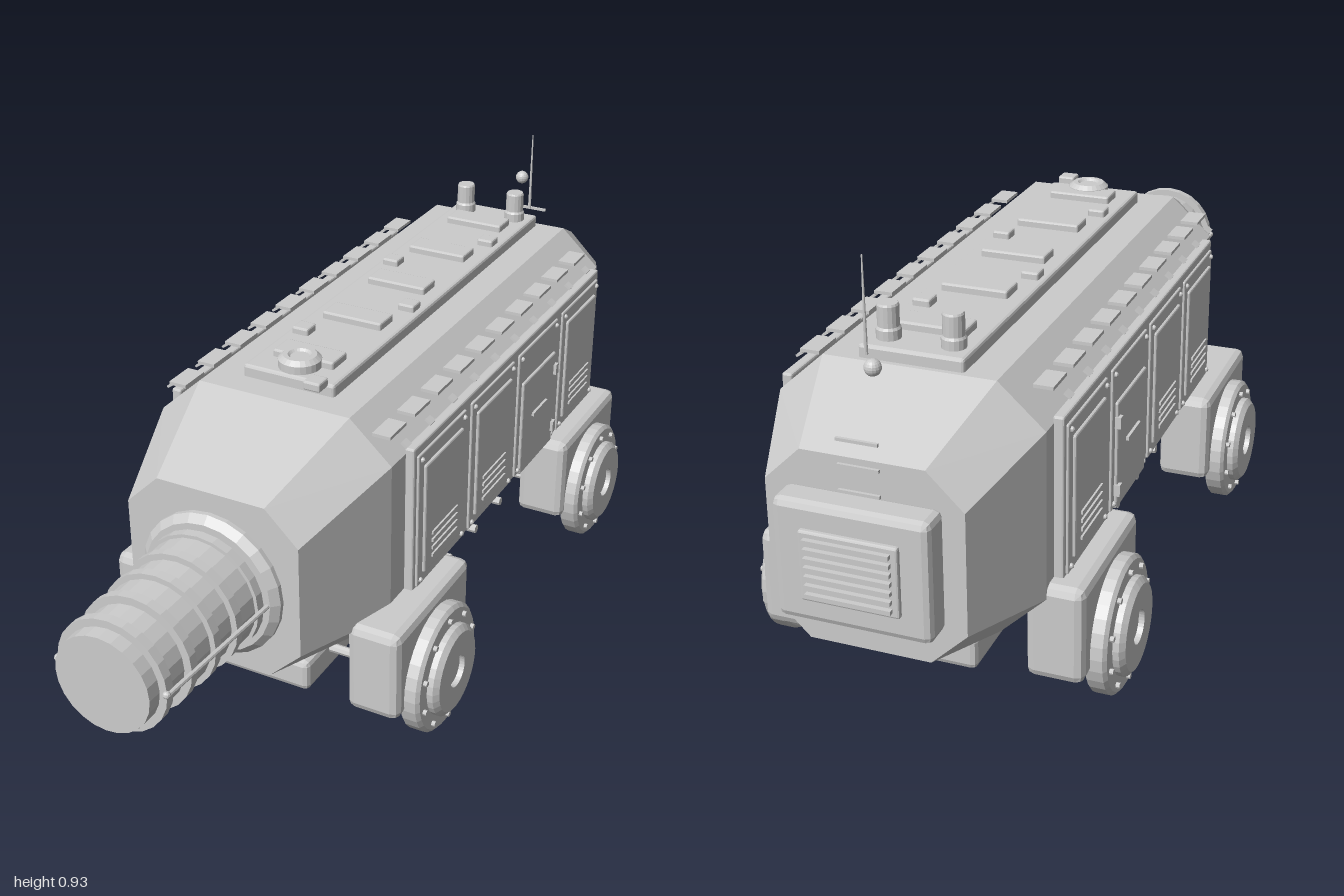
import * as THREE from 'three';
import { ConvexGeometry } from 'three/addons/geometries/ConvexGeometry.js';
import { RoundedBoxGeometry } from 'three/addons/geometries/RoundedBoxGeometry.js';

export function createModel() {
  const root = new THREE.Group();
  root.name = 'armouredVehicle';
  const grey = new THREE.MeshStandardMaterial({ color: 0xcccccc, flatShading: true });
  grey.name = 'lightGrey';

  const add = (name, geo, x = 0, y = 0, z = 0) => {
    const m = new THREE.Mesh(geo, grey);
    m.name = name;
    m.position.set(x, y, z);
    root.add(m);
    return m;
  };
  // box by centre and size, with an optional chamfer
  const box = (name, x, y, z, w, h, d, c = 0) =>
    add(name, c ? new RoundedBoxGeometry(w, h, d, 1, c) : new THREE.BoxGeometry(w, h, d), x, y, z);
  // lathed [radius, position] profile turned to point along the given axis
  const lathe = (name, pts, axis, x, y, z, n = 24) => {
    const g = new THREE.LatheGeometry(pts.map(p => new THREE.Vector2(p[0], p[1])), n);
    if (axis === 'z') g.rotateX(Math.PI / 2);
    if (axis === 'x') g.rotateZ(-Math.PI / 2);
    if (axis === '-x') g.rotateZ(Math.PI / 2);
    return add(name, g, x, y, z);
  };

  // hull: chamfered octagon sections, tapered at both ends
  const section = (z, wx, cx, y0, y1, y2, y3) =>
    [[cx, y0], [wx, y1], [wx, y2], [cx, y3]].flatMap(([x, y]) =>
      [new THREE.Vector3(x, y, z), new THREE.Vector3(-x, y, z)]);
  add('hull', new ConvexGeometry([
    ...section(0.63, 0.192, 0.12, 0.235, 0.305, 0.55, 0.62),
    ...section(0.39, 0.265, 0.172, 0.19, 0.28, 0.625, 0.71),
    ...section(-0.72, 0.265, 0.172, 0.19, 0.28, 0.625, 0.71),
    ...section(-0.92, 0.192, 0.12, 0.235, 0.305, 0.55, 0.62),
  ]));

  // front barrel with collar, rings and side rods
  lathe('barrelCollar', [[0, 0.62], [0.157, 0.62], [0.157, 0.64], [0.142, 0.655], [0.11, 0.655]], 'z', 0, 0.42, 0);
  lathe('barrel', [[0.125, 0.63], [0.122, 0.75], [0.115, 0.75], [0.112, 0.88], [0.106, 0.88],
    [0.102, 1], [0, 1]], 'z', 0, 0.42, 0);
  [0.67, 0.74, 0.81, 0.885, 0.96].forEach((z, i) => {
    const r = 0.131 - i * 0.003;
    lathe('barrelRing', [[0.09, z - 0.01], [r, z - 0.01], [r, z + 0.01], [0.09, z + 0.01]], 'z', 0, 0.42, 0);
  });
  for (const s of [-1, 1]) {
    const rod = add('barrelRod', new THREE.CylinderGeometry(0.005, 0.005, 0.33, 8), s * 0.128, 0.42, 0.81);
    rod.rotation.set(Math.PI / 2, 0, s * 0.05);
    add('rodEnd', new THREE.SphereGeometry(0.008, 10, 6), s * 0.118, 0.42, 0.97);
  }

  // roof deck and its fittings
  box('roofDeck', 0, 0.72, -0.19, 0.21, 0.032, 1.04, 0.006);
  for (let i = 0; i < 5; i++) {
    const z = -0.59 + i * 0.2075;
    box('roofPlate', 0, 0.742, z, 0.14, 0.02, 0.06, 0.004);
    box('roofBlock', i % 2 ? -0.072 : 0.072, 0.741, z + 0.105, 0.038, 0.02, 0.038, 0.004);
  }
  lathe('roofHatch', [[0.045, 0], [0.045, 0.018], [0.035, 0.027], [0.025, 0.027], [0.02, 0.022], [0, 0.022]], 'y', 0, 0.735, 0.28);
  for (const s of [-1, 1])
    lathe('roofStack', [[0.024, 0], [0.024, 0.02], [0.021, 0.025], [0.021, 0.066], [0.019, 0.07], [0, 0.07]], 'y', s * 0.065, 0.735, -0.66, 16);
  add('aerial', new THREE.CylinderGeometry(0.0015, 0.004, 0.19, 8), 0.07, 0.83, -0.745);
  add('beacon', new THREE.SphereGeometry(0.016, 16, 10), 0, 0.768, -0.86);

  // rear grille and vent bars
  box('rearHousing', 0, 0.43, -0.945, 0.3, 0.24, 0.07, 0.014);
  box('grilleFrame', 0, 0.43, -0.982, 0.19, 0.14, 0.016, 0.004);
  for (let i = 0; i < 7; i++)
    box('grilleSlat', 0, 0.376 + i * 0.018, -0.993, 0.165, 0.008, 0.014);
  for (const y of [0.56, 0.61, 0.66])
    box('rearVentBar', 0, y, -0.933, 0.08, 0.006, 0.006);

  // undercarriage
  box('underTray', 0, 0.16, -0.125, 0.285, 0.07, 1.29, 0.012);
  box('bellyPlate', 0, 0.115, -0.155, 0.17, 0.034, 0.45, 0.006);
  for (let i = 0; i < 8; i++)
    add('crossRod', new THREE.CylinderGeometry(0.01, 0.01, 0.44, 8).rotateZ(Math.PI / 2), 0, 0.175, 0.42 - i * 0.14);

  for (const s of [-1, 1]) {
    // side armour and four framed panels
    box('sideArmour', s * 0.273, 0.47, -0.175, 0.022, 0.335, 1.01, 0.004);
    [0.205, -0.048, -0.3, -0.555].forEach((z, i) => {
      const door = i === 2;
      box('sidePanel', s * 0.283, 0.463, z, 0.012, 0.31, 0.225, 0.003);
      const [w, h, y] = door ? [0.19, 0.235, 0.425] : [0.18, 0.255, 0.46];
      box(door ? 'door' : 'panelInset', s * 0.288, y, z, 0.014, h, w, 0.004);
      for (const a of [-1, 1]) for (const b of [-1, 1])
        add('panelBolt', new THREE.SphereGeometry(0.006, 8, 6), s * 0.29, 0.463 + a * 0.142, z + b * 0.1);
      if (door) {
        box('doorHandle', s * 0.297, 0.44, z, 0.008, 0.008, 0.08);
        for (const y2 of [0.35, 0.5])
          box('doorHinge', s * 0.294, y2, z - 0.09, 0.016, 0.025, 0.015);
      } else for (let k = 0; k < 4; k++)
        box('louvre', s * 0.295, 0.36 + k * 0.018, z, 0.008, 0.007, 0.12);
    });

    // row of plates above the side armour
    for (let i = 0; i < 10; i++) {
      const z = -0.62 + i * 0.107;
      box('eavePlate', s * 0.235, 0.679, z, 0.04, 0.007, 0.07);
      box('eaveClip', s * 0.272, 0.657, z, 0.016, 0.005, 0.02).rotation.z = -s * 0.6;
    }

    // wheels with housings
    for (const z of [0.33, -0.54]) {
      box('wheelHousing', s * 0.279, 0.204, z + (z > 0 ? 0 : -0.01), 0.117, 0.205, 0.34, 0.018);
      lathe('wheel', [[0, 0.325], [0.135, 0.325], [0.14, 0.33], [0.14, 0.362], [0.132, 0.369], [0.1, 0.369],
        [0.1, 0.382], [0.088, 0.392], [0.035, 0.392], [0.035, 0.38], [0, 0.38]], s > 0 ? 'x' : '-x', 0, 0.14, z, 32);
      for (let k = 0; k < 10; k++) {
        const a = (k + 0.5) * Math.PI / 5;
        add('wheelBolt', new THREE.CylinderGeometry(0.006, 0.006, 0.012, 8).rotateZ(Math.PI / 2),
          s * 0.371, 0.14 + Math.sin(a) * 0.118, z + Math.cos(a) * 0.118);
      }
    }
  }
  return root;
}
